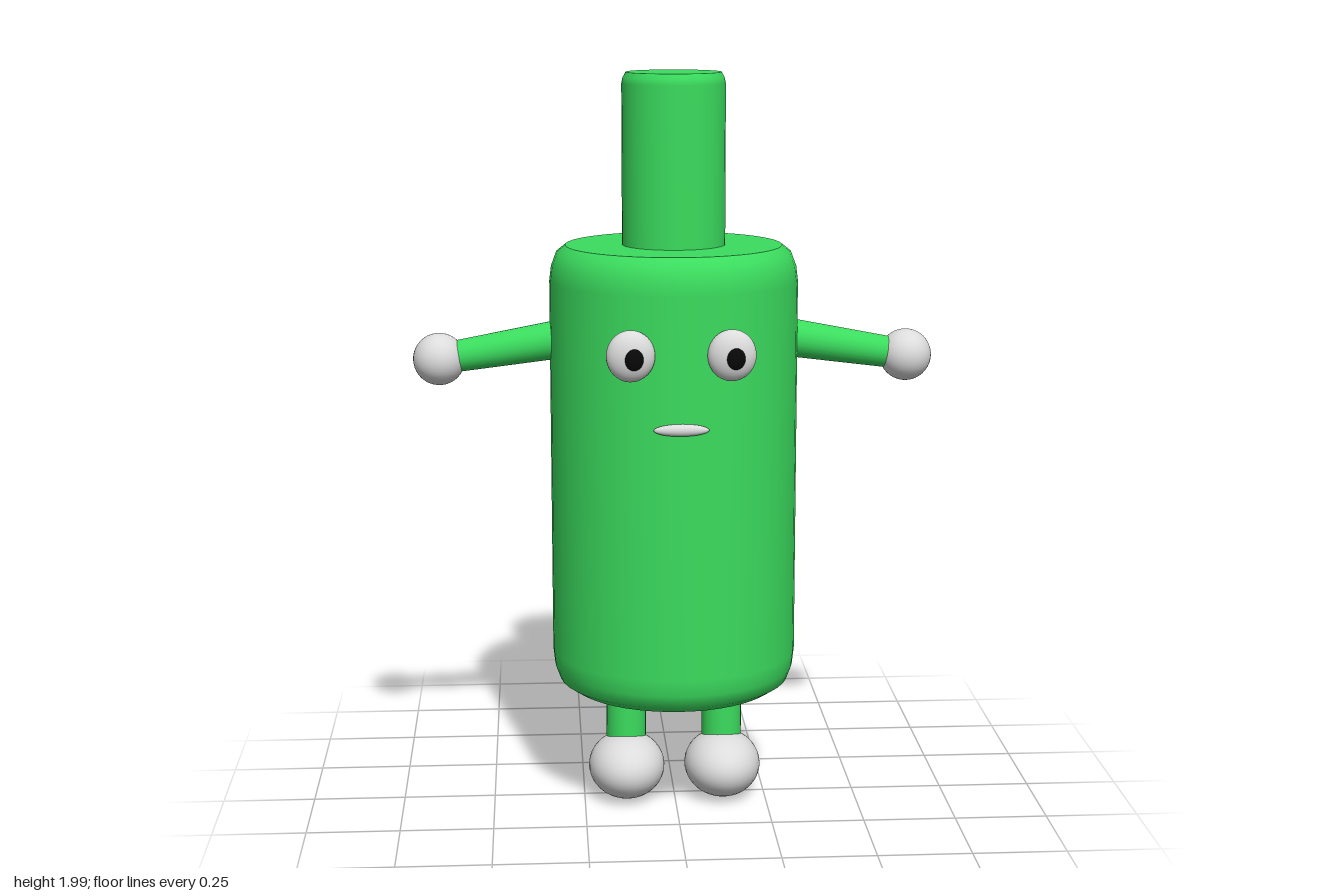
import * as THREE from 'three';

const green = new THREE.MeshStandardMaterial({ name: 'green', color: 0x3bdc5e });
const white = new THREE.MeshStandardMaterial({ name: 'white', color: 0xdcdcdc });
const black = new THREE.MeshStandardMaterial({ name: 'black', color: 0x080808 });
const AXIS_Z = -0.02;

export function createModel() {
  const model = new THREE.Group();
  model.name = 'bottleFigure';

  const add = (name, geometry, material, x, y, z) => {
    const mesh = new THREE.Mesh(geometry, material);
    mesh.name = name;
    mesh.position.set(x, y, z);
    model.add(mesh);
    return mesh;
  };

  // Sphere stretched to the given radii
  const ellipsoid = (name, material, [rx, ry, rz], x, y, z) =>
    add(name, new THREE.SphereGeometry(1, 32, 20).scale(rx, ry, rz), material, x, y, z);

  // Lathe with hard edges wherever a profile point is doubled
  const turned = (name, profile) =>
    add(name, new THREE.LatheGeometry(profile.map(([r, y]) => new THREE.Vector2(r, y)), 48),
      green, 0, 0, AXIS_Z);

  // Body with rounded shoulders and flat ends
  turned('bodyBottom', [[0, 0.33], [0.285, 0.33]]);
  turned('body', [[0.285, 0.33], [0.315, 0.35], [0.328, 0.385], [0.333, 0.43],
    [0.333, 1.45], [0.328, 1.49], [0.315, 1.525], [0.29, 1.545]]);
  turned('bodyTop', [[0.29, 1.545], [0, 1.545]]);

  // Neck with a small bevel at the top
  turned('neck', [[0.138, 1.53], [0.138, 1.97], [0.135, 1.985], [0.127, 2]]);
  turned('neckTop', [[0.127, 2], [0, 2]]);

  for (const [side, s] of [['left', 1], ['right', -1]]) {
    // Arm tapering from the body to the hand
    const from = new THREE.Vector3(s * 0.25, 1.3, AXIS_Z);
    const to = new THREE.Vector3(s * 0.63, 1.24, AXIS_Z);
    const along = to.clone().sub(from);
    const mid = from.clone().add(to).multiplyScalar(0.5);
    const arm = add(side + 'Arm', new THREE.CylinderGeometry(0.041, 0.054, along.length(), 24),
      green, mid.x, mid.y, mid.z);
    arm.quaternion.setFromUnitVectors(new THREE.Vector3(0, 1, 0), along.normalize());
    ellipsoid(side + 'Hand', white, [0.07, 0.07, 0.07], s * 0.63, 1.24, AXIS_Z);

    // Leg and foot
    add(side + 'Leg', new THREE.CylinderGeometry(0.055, 0.055, 0.3, 24), green, s * 0.133, 0.25, -0.015);
    ellipsoid(side + 'Foot', white, [0.105, 0.09, 0.13], s * 0.133, 0.097, 0.015);

    // Eye, with both pupils shifted slightly to the same side
    ellipsoid(side + 'Eye', white, [0.063, 0.067, 0.037], s * 0.13, 1.298, 0.307);
    ellipsoid(side + 'Pupil', black, [0.026, 0.03, 0.02], s * 0.13 + 0.007, 1.294, 0.333);
  }

  ellipsoid('mouth', white, [0.072, 0.016, 0.014], 0, 1.105, 0.315);

  return model;
}
